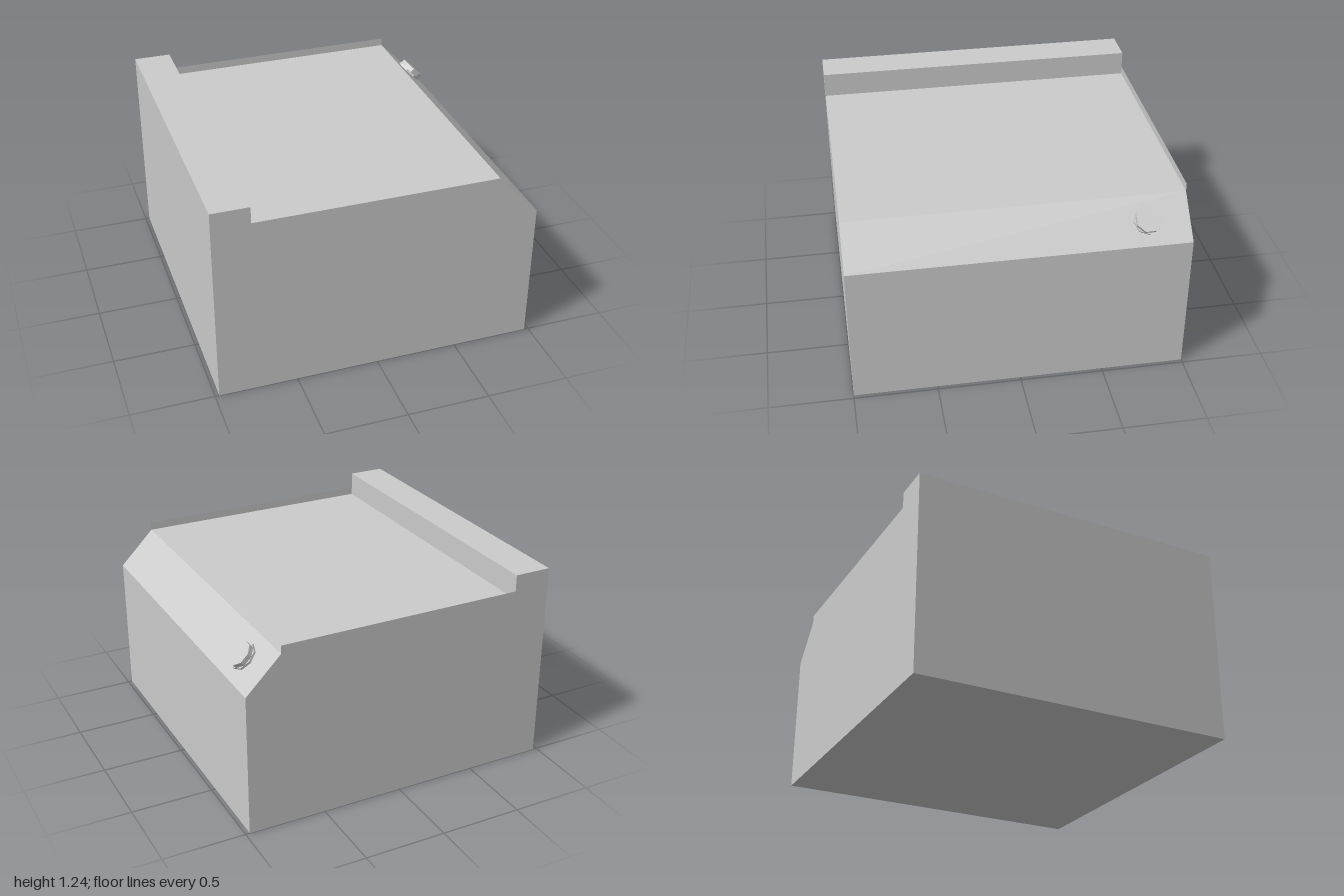
import * as THREE from 'three';

export function createModel() {
  const model = new THREE.Group();
  const grey = new THREE.MeshStandardMaterial({ color: 0xcccccc, flatShading: true });
  const thinGrey = new THREE.MeshStandardMaterial({ color: 0xcccccc, flatShading: true, side: THREE.DoubleSide });

  const add = (name, geometry, material = grey, parent = model) => {
    const mesh = new THREE.Mesh(geometry, material);
    mesh.name = name;
    parent.add(mesh);
    return mesh;
  };

  // Body: side profile with raised ridge, flat deck and sloped edge
  const halfWidth = 0.975, ridgeX = -0.747, slopeX = 0.761, deckY = 1.09, slopeY = 0.875;
  const profile = new THREE.Shape([
    [-halfWidth, 0], [halfWidth, 0], [halfWidth, slopeY], [slopeX, deckY],
    [ridgeX, deckY], [ridgeX, 1.242], [-halfWidth, 1.242],
  ].map(([x, y]) => new THREE.Vector2(x, y)));
  const body = new THREE.ExtrudeGeometry(profile, { depth: 2, bevelEnabled: false });
  add('body', body.translate(0, 0, -1));

  // Paper-thin lips standing along both ends of the deck
  const lipHeight = 0.05;
  for (const [name, z] of [['frontLip', 1], ['backLip', -1]]) {
    const lip = add(name, new THREE.PlaneGeometry(slopeX - ridgeX, lipHeight), thinGrey);
    lip.position.set((slopeX + ridgeX) / 2, deckY + lipHeight / 2, z);
  }

  // Octagonal knob standing square to the middle of the slope
  const knob = new THREE.Group();
  knob.name = 'knob';
  knob.position.set((slopeX + halfWidth) / 2, (deckY + slopeY) / 2, -0.75);
  knob.rotation.z = -Math.PI / 4;
  model.add(knob);
  add('knobFlange', new THREE.CylinderGeometry(0.085, 0.085, 0.014, 8).translate(0, 0.007, 0), grey, knob);
  const cap = new THREE.CylinderGeometry(0.079, 0.079, 0.03, 8).rotateY(Math.PI / 8);
  add('knobCap', cap.translate(0, 0.029, 0), grey, knob);

  return model;
}
